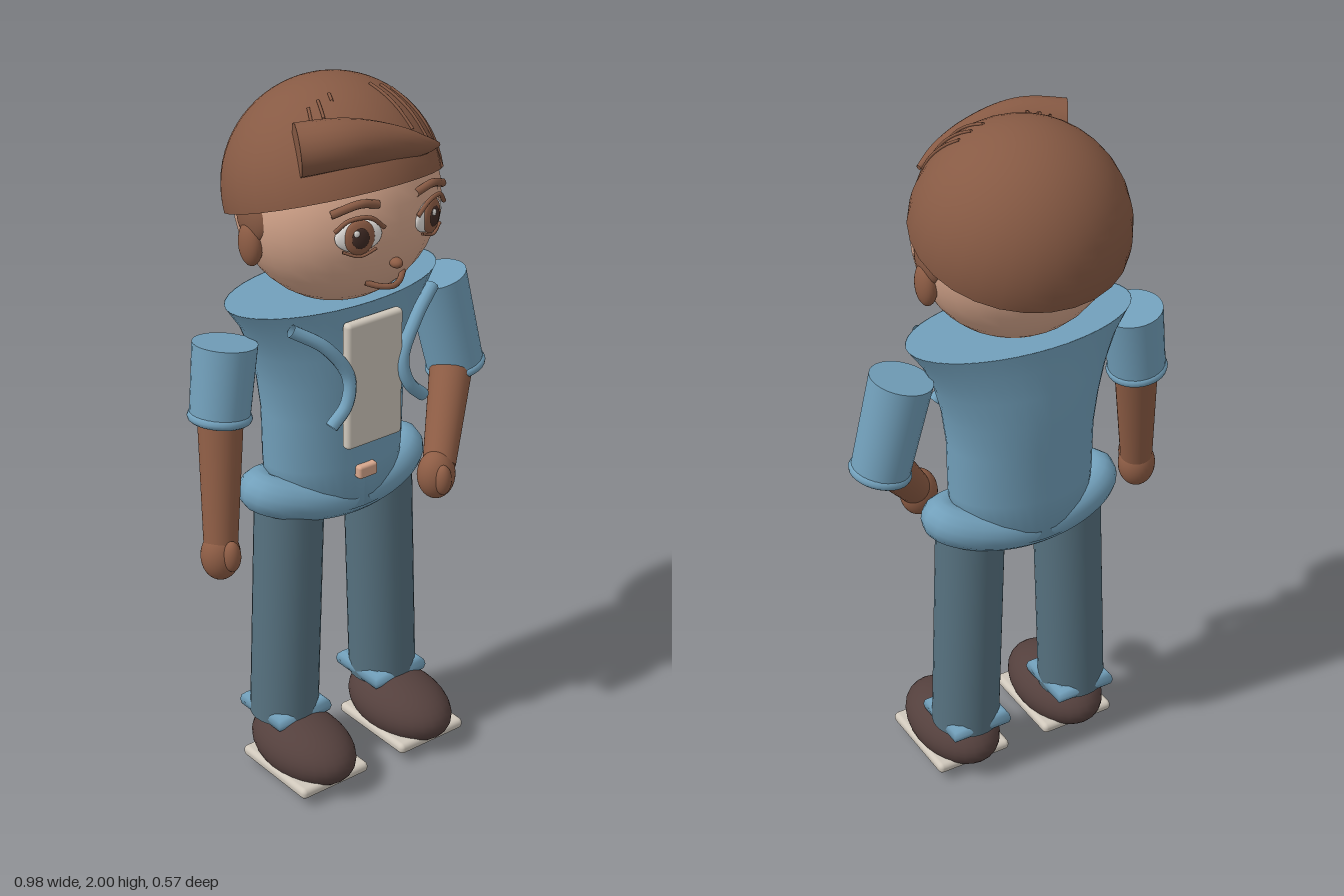
import * as THREE from 'three';
import { RoundedBoxGeometry } from 'three/addons/geometries/RoundedBoxGeometry.js';

const V = (x, y, z) => new THREE.Vector3(x, y, z);
const paint = (name, color) => {
  const m = new THREE.MeshStandardMaterial({ color });
  m.name = name;
  return m;
};

export function createModel() {
  const model = new THREE.Group();
  model.name = 'standingBoy';
  const skin = paint('face skin', 0xd7a78d), limb = paint('arm skin', 0x8e5d45);
  const hair = paint('hair brown', 0x875a44), blue = paint('jacket blue', 0x72a0bb);
  const denim = paint('denim', 0x56717f), leather = paint('shoe brown', 0x54403d);
  const cream = paint('cream', 0xcfc7bb), white = paint('eye white', 0xe6e2de);
  const dark = paint('dark brown', 0x3f2a24);
  hair.side = blue.side = THREE.DoubleSide;

  const add = (name, geo, mat, parent = model) => {
    const m = new THREE.Mesh(geo, mat);
    m.name = name;
    parent.add(m);
    return m;
  };
  const ball = (name, p, s, mat, parent) => {
    const m = add(name, new THREE.SphereGeometry(1, 28, 20), mat, parent);
    m.position.set(...p);
    m.scale.set(...s);
    return m;
  };
  // Round limb between two points, r0 at a and r1 at b
  const limbBetween = (name, a, b, r0, r1, mat) => {
    const d = b.clone().sub(a);
    const m = add(name, new THREE.CylinderGeometry(r1, r0, d.length(), 28), mat);
    m.position.copy(a).add(b).multiplyScalar(0.5);
    m.quaternion.setFromUnitVectors(V(0, 1, 0), d.normalize());
    return m;
  };
  const tube = (name, pts, r, mat, parent, closed = false, n = 24) =>
    add(name, new THREE.TubeGeometry(new THREE.CatmullRomCurve3(pts, closed), n, r, 10, closed), mat, parent);

  // Jacket body: a lathe whose rings are squeezed into ellipses
  const profile = [[0, 0.82], [0.2, 0.82], [0.212, 0.95], [0.213, 1.1], [0.226, 1.2],
    [0.25, 1.29], [0.285, 1.37], [0.33, 1.435]];
  const body = new THREE.LatheGeometry(profile.map(p => new THREE.Vector2(...p)), 40);
  const top = new THREE.CircleGeometry(0.33, 40).rotateX(-Math.PI / 2).translate(0, 1.434, 0);
  for (const g of [body, top]) {
    const pos = g.attributes.position;
    for (let i = 0; i < pos.count; i++) {
      const y = pos.getY(i), r = Math.hypot(pos.getX(i), pos.getZ(i));
      const full = y < 0.9 ? 0.2 : y < 1.15 ? 0.213 : 0.213 + 0.117 * ((y - 1.15) / 0.285) ** 1.5;
      const depth = 0.14 + 0.025 * Math.min(1, Math.max(0, (y - 0.85) / 0.45));
      if (r > 0) pos.setZ(i, pos.getZ(i) * depth / full);
    }
    g.computeVertexNormals();
  }
  add('jacketBody', body, blue);
  add('jacketTop', top, blue);

  // Hem roll, dipping at the middle of front and back
  const hem = [];
  for (let i = 0; i < 24; i++) {
    const a = -i / 24 * Math.PI * 2;
    hem.push(V(0.243 * Math.cos(a), 0.882 - 0.042 * Math.sin(a) ** 2, 0.085 * Math.sin(a)));
  }
  add('jacketHem', new THREE.TubeGeometry(new THREE.CatmullRomCurve3(hem, true), 64, 0.056, 16, true), blue);

  // Shirt panel and buckle
  add('shirtPanel', new RoundedBoxGeometry(0.185, 0.365, 0.03, 3, 0.012), cream).position.set(-0.002, 1.217, 0.174);
  add('buckle', new RoundedBoxGeometry(0.062, 0.038, 0.03, 3, 0.008), skin).position.set(-0.002, 0.936, 0.148);

  for (const s of [-1, 1]) {
    const side = s > 0 ? 'left' : 'right';
    // Drawstring
    tube(side + 'Drawstring', [V(s * 0.235, 1.405, 0.13), V(s * 0.15, 1.345, 0.165), V(s * 0.09, 1.25, 0.185),
      V(s * 0.105, 1.18, 0.195), V(s * 0.155, 1.13, 0.195)], 0.018, blue);
    // Trouser leg with square cuff bar
    limbBetween(side + 'Leg', V(s * 0.178, 0.165, 0.007), V(s * 0.153, 0.86, 0.007), 0.097, 0.096, denim);
    const cuff = add(side + 'Cuff', new THREE.TorusGeometry(0.105, 0.026, 10, 4).rotateZ(Math.PI / 4).rotateX(Math.PI / 2), blue);
    cuff.position.set(s * 0.173, 0.182, 0.007);
    // Shoe and sole
    ball(side + 'Shoe', [s * 0.175, 0.092, 0.093], [0.119, 0.092, 0.187], leather);
    add(side + 'Sole', new RoundedBoxGeometry(0.232, 0.032, 0.288, 3, 0.014), cream).position.set(s * 0.175, 0.042, 0.101);
    // Ear and sideburn
    ball(side + 'Ear', [s * 0.27, 1.617, 0.01], [0.027, 0.062, 0.04], limb);
    ball(side + 'Sideburn', [s * 0.262, 1.685, 0.01], [0.024, 0.065, 0.062], hair);
    // Eye
    const eye = new THREE.Group();
    eye.name = side + 'Eye';
    eye.position.set(s * 0.113, 1.675, 0.25);
    eye.rotation.y = s * 0.35;
    model.add(eye);
    ball('eyeball', [0, 0, 0], [0.062, 0.043, 0.016], white, eye);
    ball('iris', [0, 0, 0.01], [0.04, 0.047, 0.012], limb, eye);
    ball('pupil', [0, 0, 0.018], [0.023, 0.028, 0.008], dark, eye);
    ball('glint', [-0.012, 0.016, 0.025], [0.008, 0.009, 0.004], white, eye);
    tube('upperLid', [V(-0.064, 0.02, 0.008), V(-0.03, 0.05, 0.018), V(0.025, 0.052, 0.018), V(0.066, 0.018, 0.008)], 0.006, hair, eye);
    tube('lowerLid', [V(-0.045, -0.035, 0.01), V(0, -0.049, 0.016), V(0.045, -0.035, 0.01)], 0.004, hair, eye);
    // Eyebrow
    tube(side + 'Brow', [V(s * 0.06, 1.75, 0.262), V(s * 0.115, 1.762, 0.258), V(s * 0.18, 1.738, 0.225)], 0.011, hair);
  }

  // Arms: the right hangs, the left bends in to the hip
  const arms = [
    { n: 'right', sh: V(-0.355, 1.362, 0.008), el: V(-0.385, 1.165, 0.02), wr: V(-0.43, 0.83, 0.075),
      hand: [-0.435, 0.795, 0.08], thumb: [-0.432, 0.81, 0.128] },
    { n: 'left', sh: V(0.35, 1.362, 0.008), el: V(0.41, 1.085, 0.03), wr: V(0.235, 0.885, 0.175),
      hand: [0.218, 0.862, 0.183], thumb: [0.207, 0.865, 0.225] },
  ];
  for (const a of arms) {
    limbBetween(a.n + 'Sleeve', a.sh, a.el, 0.086, 0.08, blue);
    const cuff = add(a.n + 'SleeveCuff', new THREE.TorusGeometry(0.071, 0.015, 10, 32), blue);
    cuff.position.copy(a.el);
    cuff.quaternion.setFromUnitVectors(V(0, 0, 1), a.el.clone().sub(a.sh).normalize());
    const start = a.el.clone().lerp(a.sh, 0.12);
    limbBetween(a.n + 'Forearm', start, a.wr, 0.062, 0.046, limb);
    ball(a.n + 'Hand', a.hand, [0.054, 0.07, 0.052], limb);
    ball(a.n + 'Thumb', a.thumb, [0.024, 0.044, 0.024], limb);
  }

  // Head, nose, mouth
  ball('head', [0, 1.69, 0.02], [0.277, 0.28, 0.256], skin);
  ball('nose', [0, 1.577, 0.262], [0.016, 0.014, 0.02], limb);
  tube('mouth', [V(-0.062, 1.522, 0.215), V(-0.03, 1.512, 0.24), V(0, 1.51, 0.252),
    V(0.03, 1.512, 0.24), V(0.062, 1.522, 0.215)], 0.008, hair);

  // Hair cap, tilted down at the back
  const cap = add('hairCap', new THREE.SphereGeometry(1, 28, 18, 0, Math.PI * 2, 0, Math.PI * 0.515), hair);
  cap.position.set(0, 1.71, 0);
  cap.scale.set(0.292, 0.29, 0.285);
  cap.geometry.rotateX(-0.33);

  // Swept quiff: a tube tapering toward the left temple
  const path = new THREE.CatmullRomCurve3([V(-0.215, 1.89, 0.135), V(-0.11, 1.9, 0.19), V(0.02, 1.88, 0.218),
    V(0.11, 1.855, 0.222), V(0.18, 1.835, 0.205)]);
  const quiff = new THREE.TubeGeometry(path, 30, 0.068, 20);
  const qp = quiff.attributes.position, v = V(0, 0, 0);
  for (let i = 0; i < qp.count; i++) {
    const t = Math.floor(i / 21) / 30, c = path.getPointAt(t);
    v.fromBufferAttribute(qp, i).sub(c).multiplyScalar(1 - 0.9 * t ** 2).add(c);
    qp.setXYZ(i, v.x, v.y, v.z);
  }
  quiff.computeVertexNormals();
  add('quiff', quiff, hair);
  const end = add('quiffEnd', new THREE.CircleGeometry(0.068, 20), hair);
  end.position.copy(path.getPointAt(0));
  end.quaternion.setFromUnitVectors(V(0, 0, 1), path.getTangentAt(0).negate());

  // Fine strands lying on the cap: x and z at start and end
  const strands = [[0.065, 0.07, 0.1, 0.2], [0.1, 0.07, 0.15, 0.2], [0.135, 0.07, 0.2, 0.2],
    [-0.13, 0.07, -0.155, 0.12], [-0.1, 0.07, -0.12, 0.12], [-0.065, 0.07, -0.075, 0.095]];
  for (const [x0, z0, x1, z1] of strands) {
    const pts = [0, 0.33, 0.66, 1].map(t => {
      const x = x0 + (x1 - x0) * t, z = z0 + (z1 - z0) * t;
      return V(x, 1.712 + 0.29 * Math.sqrt(Math.max(0, 1 - (x / 0.292) ** 2 - (z / 0.285) ** 2)), z);
    });
    tube('hairStrand', pts, 0.004, hair);
  }
  return model;
}
